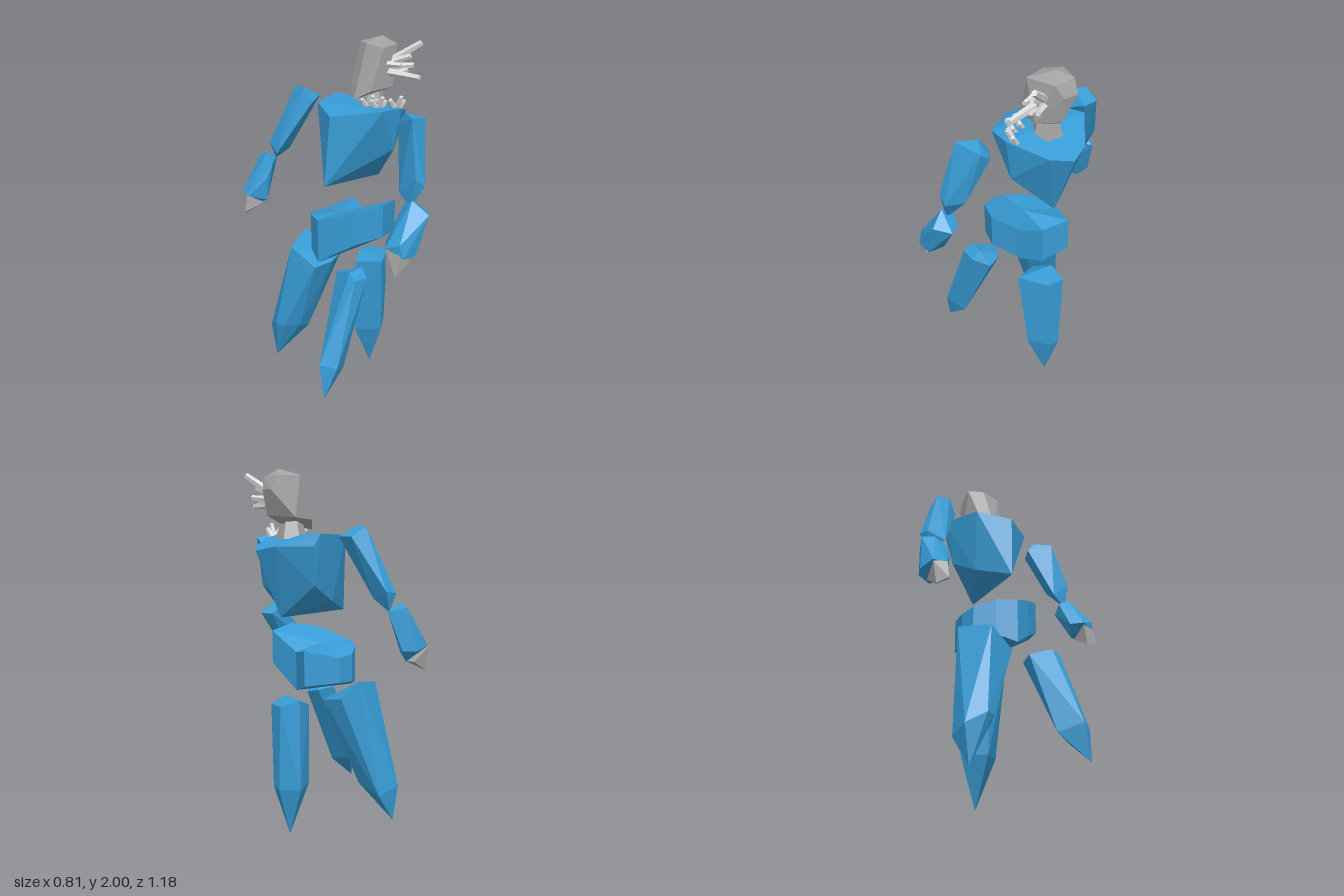
import * as THREE from 'three';
import { ConvexGeometry } from 'three/addons/geometries/ConvexGeometry.js';

const mat = (name, color) => Object.assign(new THREE.MeshStandardMaterial({ color }), { name });

export function createModel() {
  const model = new THREE.Group();
  const blue = mat('blue crystal', 0x379cd6);
  const grey = mat('grey stone', 0xa2a2a2);
  const pale = mat('pale shards', 0xdcdcdc);

  const add = (name, geometry, material) => {
    const mesh = new THREE.Mesh(geometry, material);
    mesh.name = name;
    model.add(mesh);
    return mesh;
  };
  // faceted rock spanned by its corner points
  const rock = (name, material, pts) =>
    add(name, new ConvexGeometry(pts.map((p) => new THREE.Vector3(...p))), material);

  // torso: sloped collar, front ridge, wedge underside
  rock('torso', blue, [
    [-0.12, 1.63, 0.02], [0.05, 1.67, 0.235], [0.18, 1.665, 0.24], [0.17, 1.665, -0.255],
    [-0.04, 1.66, -0.17], [0.2, 1.6, 0.21], [0.2, 1.6, -0.24], [0.35, 1.6, 0.11],
    [0.35, 1.6, -0.11], [0.405, 1.58, 0], [0.165, 1.44, 0.205], [0.17, 1.4, -0.2],
    [0.26, 1.225, 0], [-0.145, 1.25, 0], [0.02, 1.31, -0.14],
  ]);

  // pelvis: bent slab, higher on the left side, notched at the front (third value lowers the rim)
  const outline = [
    [0.05, 0.25], [-0.09, 0.2], [-0.155, 0.1], [-0.195, 0], [-0.15, -0.11],
    [-0.066, -0.2], [0.025, -0.215], [0.205, -0.15], [0.165, 0, 0.04], [0.212, 0.18],
  ];
  const bend = (z, keys) => {
    const k = Math.max(1, keys.findIndex((e) => e[0] >= z));
    const [a, b] = [keys[k - 1], keys[k]];
    return THREE.MathUtils.mapLinear(z, a[0], b[0], a[1], b[1]);
  };
  const topAt = (z) => bend(z, [[-0.22, 1.01], [-0.16, 1.055], [0, 1.07], [0.18, 1.135], [0.26, 1.165]]);
  const lowAt = (z) => bend(z, [[-0.22, 0.88], [-0.14, 0.865], [0, 0.82], [0.18, 0.955], [0.26, 0.985]]);
  const slab = [];
  outline.forEach(([x, z, drop = 0], i) => {
    const [u, w, dropNext = 0] = outline[(i + 1) % outline.length];
    const ti = [x, topAt(z) - drop, z], tj = [u, topAt(w) - dropNext, w];
    const bi = [x, lowAt(z), z], bj = [u, lowAt(w), w];
    slab.push(bi, ti, tj, bi, tj, bj, [0, 1.07, 0], tj, ti, [0, 0.82, 0], bi, bj);
  });
  const pelvis = new THREE.BufferGeometry();
  pelvis.setAttribute('position', new THREE.Float32BufferAttribute(slab.flat(), 3));
  pelvis.computeVertexNormals();
  add('pelvis', pelvis, blue);

  // legs: long shards ending in points
  rock('frontLeg', blue, [
    [0.085, 0.73, 0], [0.15, 0.765, 0.15], [0.295, 0.75, 0.05], [0.295, 0.75, -0.05],
    [0.18, 0.77, -0.06], [0.085, 0.28, 0], [0.19, 0.29, 0.115], [0.295, 0.29, 0.03],
    [0.295, 0.28, -0.03], [0.2, 0.28, -0.1], [0.21, 0.005, 0],
  ]);
  rock('rightLeg', blue, [
    [-0.19, 0.77, -0.035], [-0.23, 0.86, -0.19], [-0.05, 0.89, -0.285], [0.02, 0.79, -0.225],
    [0.05, 0.77, -0.09], [-0.06, 0.77, -0.035], [-0.305, 0.36, -0.26], [-0.285, 0.36, -0.21],
    [-0.265, 0.3, -0.362], [-0.14, 0.26, -0.355], [-0.2, 0.35, -0.17], [-0.115, 0.3, -0.2],
    [-0.257, 0.095, -0.33],
  ]);
  rock('leftLeg', blue, [
    [-0.1, 0.8, 0.29], [-0.035, 0.755, 0.21], [-0.09, 0.845, 0.24], [-0.18, 0.84, 0.24],
    [-0.185, 0.81, 0.287], [-0.15, 0.79, 0.105], [-0.06, 0.775, 0.13], [-0.405, 0.37, 0.25],
    [-0.35, 0.36, 0.33], [-0.3, 0.33, 0.16], [-0.25, 0.3, 0.27], [-0.405, 0.17, 0.285],
  ]);

  // left arm
  rock('leftUpperArm', blue, [
    [0.1, 1.68, 0.345], [0.185, 1.61, 0.335], [0.19, 1.65, 0.395], [0.045, 1.675, 0.44],
    [0.1, 1.62, 0.295], [0, 1.39, 0.52], [0.125, 1.37, 0.45], [0, 1.3, 0.41],
    [0.06, 1.35, 0.53], [0, 1.235, 0.49],
  ]);
  rock('leftForearm', blue, [
    [-0.01, 1.285, 0.51], [0, 1.245, 0.445], [0.06, 1.2, 0.46], [0.1, 1.2, 0.52],
    [0.03, 1.22, 0.59], [-0.11, 1.07, 0.435], [-0.17, 1.07, 0.49], [-0.145, 1.1, 0.565],
    [-0.14, 1.03, 0.585], [-0.05, 1.015, 0.49], [-0.05, 1.02, 0.585],
  ]);
  rock('leftHand', grey, [
    [-0.165, 1.06, 0.49], [-0.15, 1.05, 0.57], [-0.07, 1, 0.49], [-0.08, 1, 0.58],
    [-0.18, 0.94, 0.57], [-0.175, 0.935, 0.5],
  ]);

  // right arm
  rock('rightUpperArm', blue, [
    [0, 1.705, -0.33], [0, 1.7, -0.41], [0.1, 1.65, -0.315], [0.01, 1.62, -0.285],
    [0.09, 1.65, -0.41], [-0.04, 1.38, -0.53], [-0.11, 1.37, -0.52], [-0.135, 1.33, -0.425],
    [-0.03, 1.34, -0.44], [-0.08, 1.275, -0.505],
  ]);
  rock('rightForearm', blue, [
    [-0.15, 1.32, -0.5], [-0.16, 1.28, -0.43], [-0.05, 1.28, -0.53], [-0.14, 1.3, -0.57],
    [-0.2, 1.2, -0.432], [-0.12, 1.08, -0.565], [-0.28, 1.1, -0.57], [-0.29, 1.09, -0.5],
    [-0.2, 1.06, -0.445], [-0.17, 1.02, -0.53], [-0.19, 1.08, -0.595],
  ]);
  rock('rightHand', grey, [
    [-0.3, 1.1, -0.5], [-0.28, 1.09, -0.57], [-0.225, 1.05, -0.445], [-0.19, 1.02, -0.5],
    [-0.2, 1.02, -0.56], [-0.32, 1, -0.5], [-0.28, 0.97, -0.55],
  ]);

  // head leaning forward, on a flared neck
  rock('head', grey, [
    [0.26, 2, 0.01], [0.155, 1.97, 0], [0.165, 1.955, 0.11], [0.19, 1.965, -0.09],
    [0.32, 1.955, 0.06], [0.31, 1.96, -0.06], [0.345, 1.89, 0.03], [0.345, 1.89, -0.055],
    [0.055, 1.69, 0.01], [0.1, 1.74, 0.095], [0.1, 1.74, -0.06], [0.24, 1.75, 0.115],
    [0.22, 1.75, -0.095], [0.325, 1.76, 0.02], [0.26, 1.72, 0],
  ]);
  const neck = new THREE.CylinderGeometry(0.055, 0.085, 0.1, 6).toNonIndexed();
  neck.computeVertexNormals();
  add('neck', neck, grey).position.set(0.19, 1.69, 0);

  // tapered shard running from one point to another
  const shard = (name, from, to, r) => {
    const a = new THREE.Vector3(...from), b = new THREE.Vector3(...to);
    const dir = b.clone().sub(a);
    const geometry = new THREE.CylinderGeometry(r * 0.6, r, dir.length(), 5).toNonIndexed();
    geometry.computeVertexNormals();
    const mesh = add(name, geometry, pale);
    mesh.position.copy(a).add(b).multiplyScalar(0.5);
    mesh.quaternion.setFromUnitVectors(new THREE.Vector3(0, 1, 0), dir.normalize());
  };
  [
    [[0.25, 1.86, 0.06], [0.35, 1.975, 0.205], 0.026],
    [[0.21, 1.83, 0.07], [0.262, 1.818, 0.28], 0.026],
    [[0.25, 1.84, 0.06], [0.335, 1.857, 0.17], 0.024],
    [[0.19, 1.87, 0.07], [0.235, 1.87, 0.175], 0.021],
    [[0.24, 1.86, 0.06], [0.3, 1.91, 0.18], 0.023],
    [[0.22, 1.8, 0.07], [0.285, 1.84, 0.175], 0.021],
  ].forEach(([a, b, r], i) => shard(`headSpike${i + 1}`, a, b, r));

  // small slanted shards growing out of the shoulder
  [[0.085, 0.085], [0.1, 0.14], [0.18, 0.195]].forEach(([x, z], i) => {
    [[-0.045, 0.055, 0.005], [0, 0.07, 0.04], [0.035, 0.045, 0.03]].forEach((d, j) =>
      shard(`shoulderShard${i + 1}${'abc'[j]}`, [x + j * 0.01, 1.65, z],
        [x + d[0], 1.655 + d[1], z + d[2]], 0.018));
  });

  return model;
}
